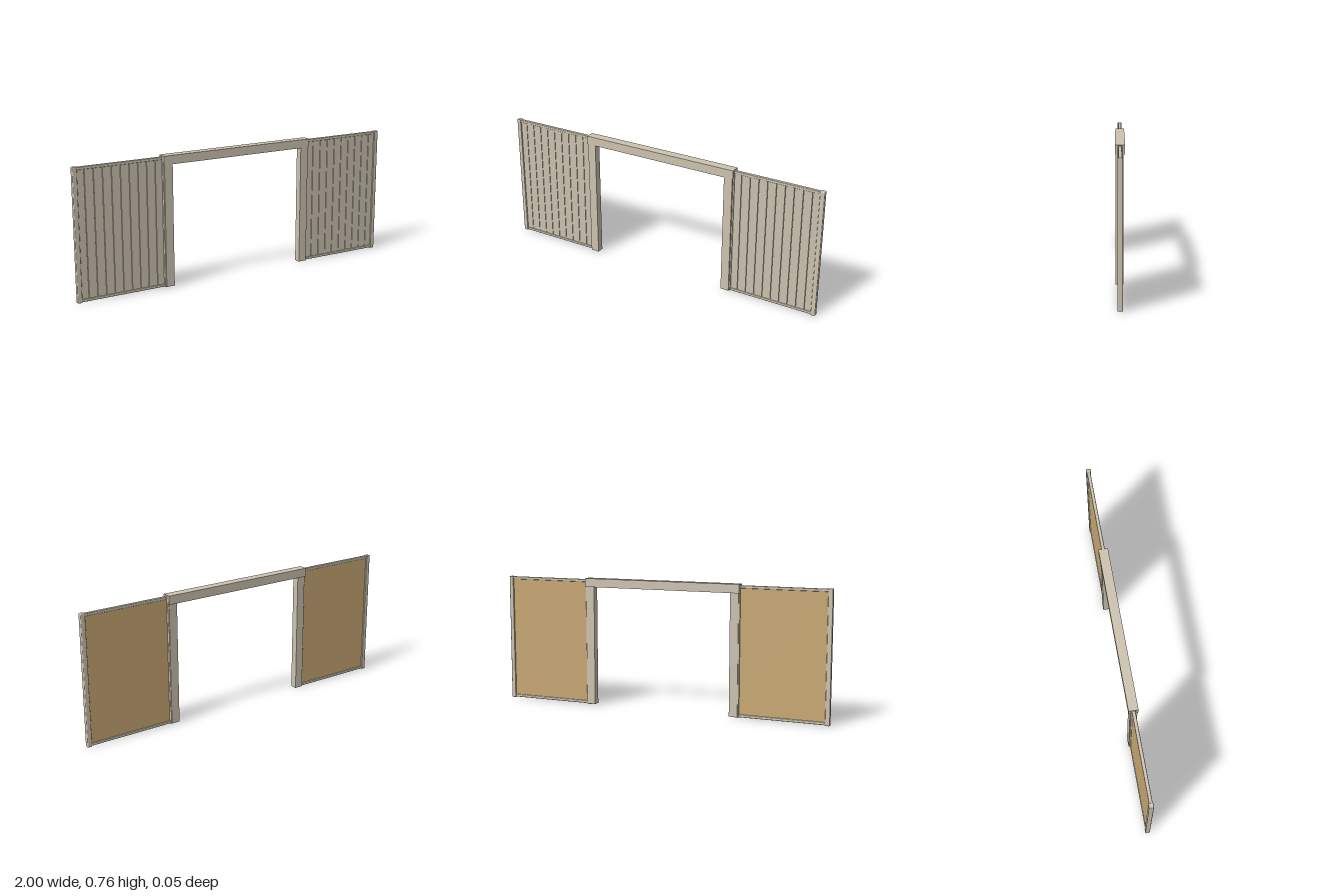
import * as THREE from 'three';
import { RoundedBoxGeometry } from 'three/addons/geometries/RoundedBoxGeometry.js';

export function createModel() {
  const model = new THREE.Group();
  model.name = 'gateway';

  const timber = new THREE.MeshStandardMaterial({ color: 0xcdc3b0 });
  timber.name = 'pale timber';
  const plankPaint = new THREE.MeshStandardMaterial({ color: 0xcac1b0 });
  plankPaint.name = 'plank grey';
  const board = new THREE.MeshStandardMaterial({ color: 0xcaa974 });
  board.name = 'tan board';

  // Adds a box given by its minimum and maximum corners; a radius rounds its edges
  function addBox(parent, name, material, min, max, radius = 0) {
    const size = max.map((v, i) => v - min[i]);
    const geometry = radius
      ? new RoundedBoxGeometry(...size, 3, radius)
      : new THREE.BoxGeometry(...size);
    const mesh = new THREE.Mesh(geometry, material);
    mesh.position.set(...max.map((v, i) => (v + min[i]) / 2));
    mesh.name = name;
    parent.add(mesh);
  }

  // Lintel across the opening
  addBox(model, 'lintel', timber, [-0.477, 0.707, -0.027], [0.477, 0.757, 0.027]);

  for (const side of [1, -1]) {
    const wing = new THREE.Group();
    wing.name = side > 0 ? 'leftWing' : 'rightWing';
    model.add(wing);

    // Mirrors the x range of a part onto this side
    const add = (name, material, x0, x1, y0, y1, z0, z1, radius) => {
      const xs = [x0 * side, x1 * side].sort((a, b) => a - b);
      addBox(wing, name, material, [xs[0], y0, z0], [xs[1], y1, z1], radius);
    };

    // Square post beside the opening
    add('gatePost', timber, 0.422, 0.472, 0.004, 0.708, -0.018, 0.023);

    // Rounded fence frame
    add('outerPost', timber, 0.973, 1, 0, 0.752, -0.0135, 0.0135, 0.005);
    add('innerPost', timber, 0.452, 0.479, 0, 0.752, -0.0135, 0.0135, 0.005);
    add('topRail', timber, 0.465, 0.987, 0.734, 0.75, -0.01, 0.01, 0.004);
    add('bottomRail', timber, 0.465, 0.987, 0.003, 0.019, -0.01, 0.01, 0.004);

    // Vertical planks over a backing board
    const first = 0.469, pitch = 0.0515, gap = 0.003;
    for (let i = 0; i < 10; i++) {
      const x = first + i * pitch;
      add('plank', plankPaint, x + gap / 2, x + pitch - gap / 2, 0.012, 0.741, -0.001, 0.006);
    }
    add('backingBoard', board, 0.469, 0.984, 0.012, 0.741, -0.005, -0.001);
  }

  return model;
}
